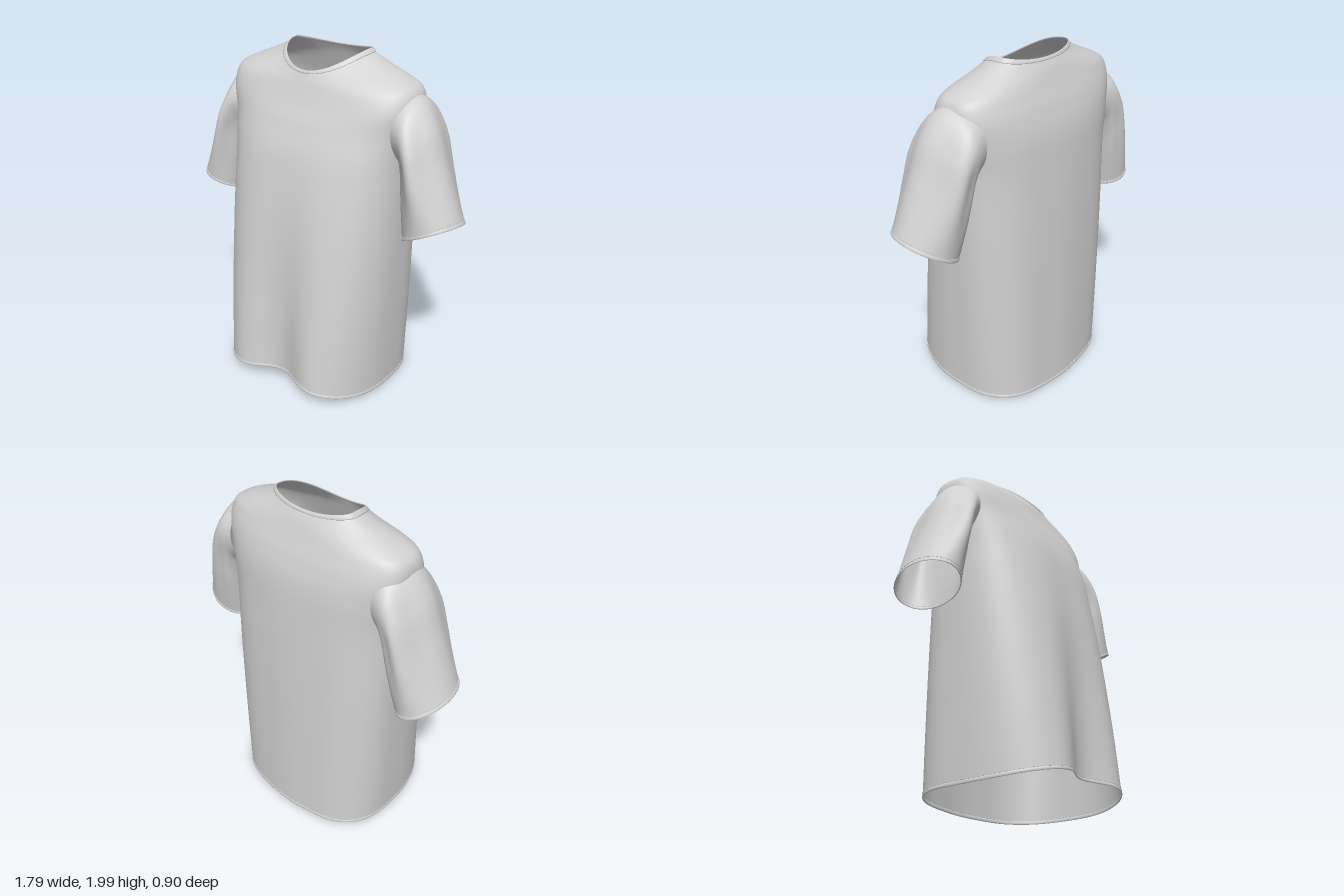
import * as THREE from 'three';
import { mergeGeometries } from 'three/addons/utils/BufferGeometryUtils.js';

const fabric = new THREE.MeshStandardMaterial({ color: 0xd2d2d2, side: THREE.DoubleSide });
fabric.name = 'light grey fabric';

const TAU = Math.PI * 2;
const bump = (x, width) => Math.exp(-((x / width) ** 2));

// Smooth blend through a list of cross-sections, v from 0 to 1
function blend(keys, v) {
  const f = Math.min(Math.max(v, 0), 1) * (keys.length - 1);
  const i = Math.min(Math.floor(f), keys.length - 2), t = f - i;
  const at = k => keys[Math.min(Math.max(k, 0), keys.length - 1)];
  return keys[0].map((_, c) => {
    const [p, q, r, s] = [at(i - 1)[c], at(i)[c], at(i + 1)[c], at(i + 2)[c]];
    return q + 0.5 * t * (r - p + t * (2 * p - 5 * q + 4 * r - s + t * (3 * (q - r) + s - p)));
  });
}

// Closed loops of points stitched into a smooth skin
function loft(rows, cols, point) {
  const pos = [], idx = [];
  for (let i = 0; i <= rows; i++) {
    for (let j = 0; j < cols; j++) {
      pos.push(...point(i / rows, (j / cols) * TAU).toArray());
      if (i === rows) continue;
      const a = i * cols + j, b = i * cols + ((j + 1) % cols);
      idx.push(a, a + cols, b, b, a + cols, b + cols);
    }
  }
  const g = new THREE.BufferGeometry();
  g.setAttribute('position', new THREE.Float32BufferAttribute(pos, 3));
  g.setIndex(idx);
  g.computeVertexNormals();
  return g;
}

// Point lifted off a surface along its normal
function lifted(surface, v, a, height) {
  const e = 0.002;
  const v0 = Math.max(v - e, 0), v1 = Math.min(v + e, 1);
  const dv = surface(v1, a).sub(surface(v0, a));
  const da = surface(v, a + 0.02).sub(surface(v, a - 0.02));
  return surface(v, a).addScaledVector(dv.cross(da).normalize(), height);
}

// Thick rounded band following an edge of a surface
const trim = (surface, v0, v1, thick) => loft(12, 128, (u, a) => lifted(surface,
  (v0 + v1) / 2 + ((v1 - v0) / 2) * Math.cos(u * TAU), a, -thick * Math.sin(u * TAU)));

// Row of small thread dashes around a surface
function stitches(surface, v, count) {
  const dashes = [];
  for (let k = 0; k < count; k++) {
    const p = lifted(surface, v, (k / count) * TAU, 0.001);
    const q = lifted(surface, v, ((k + 0.6) / count) * TAU, 0.001);
    const dash = new THREE.Object3D();
    dash.position.copy(p).lerp(q, 0.5);
    dash.lookAt(q);
    dash.updateMatrix();
    dashes.push(new THREE.BoxGeometry(0.004, 0.004, p.distanceTo(q)).applyMatrix4(dash.matrix));
  }
  return mergeGeometries(dashes);
}

// Body: half width, side z, front z, back z, side y, front y, back y, squareness, front dip
const bodyKeys = [
  [0.52, -0.07, 0.5, -0.45, 0.018, 0.09, 0.005, 2.6, 0.13],
  [0.535, -0.08, 0.447, -0.44, 0.5, 0.5, 0.5, 2.6, 0.08],
  [0.545, -0.09, 0.37, -0.424, 1.0, 1.0, 1.0, 2.6, 0.03],
  [0.55, -0.1, 0.288, -0.403, 1.4, 1.4, 1.4, 2.6, 0.005],
  [0.57, -0.11, 0.22, -0.385, 1.58, 1.6, 1.6, 2.7, 0],
  [0.597, -0.11, 0.172, -0.352, 1.73, 1.71, 1.73, 2.8, 0],
  [0.577, -0.12, 0.142, -0.315, 1.828, 1.785, 1.825, 2.7, 0],
  [0.5, -0.125, 0.127, -0.294, 1.876, 1.825, 1.88, 2.5, 0],
  [0.39, -0.135, 0.117, -0.278, 1.922, 1.85, 1.92, 2.2, 0],
  [0.285, -0.15, 0.109, -0.262, 1.97, 1.87, 1.95, 2.1, 0],
  [0.253, -0.16, 0.1, -0.25, 1.997, 1.89, 1.97, 2, 0],
];
function body(v, a) {
  const [w, zs, zf, zb, ys, yf, yb, n, dip] = blend(bodyKeys, v);
  const c = Math.cos(a), s = Math.sin(a), front = s > 0;
  const power = k => Math.sign(k) * Math.abs(k) ** (2 / n);
  const x = w * power(c);
  let z = zs + (front ? zf - zs : zs - zb) * power(s);
  const y = ys + ((front ? yf : yb) - ys) * s * s;
  // Hanging folds on the front and soft ripples on the back
  const drape = Math.max(0, 1 - v / 0.58);
  z -= front ? dip * bump(x, 0.19) * s * s : drape * 0.004 * (Math.cos(x * 16) - 1) * s * s;
  return new THREE.Vector3(x - 0.02 + 0.012 * drape, y, z);
}

// Sleeve: top x, top y, underarm x, underarm y, front z, back z, wrinkle depth
const sleeveKeys = [
  [0.5, 1.82, 0.5, 1.44, 0.07, -0.29, 0],
  [0.605, 1.785, 0.535, 1.42, 0.1, -0.305, 0.004],
  [0.695, 1.655, 0.55, 1.35, 0.122, -0.3, 0.01],
  [0.76, 1.485, 0.558, 1.24, 0.132, -0.285, 0.009],
  [0.825, 1.325, 0.565, 1.12, 0.132, -0.262, 0.005],
  [0.892, 1.165, 0.57, 1.002, 0.13, -0.235, 0],
];
const sleeve = side => (v, a) => {
  const [xt, yt, xu, yu, zf, zb, fold] = blend(sleeveKeys, v);
  const lean = side < 0 ? v : 0;
  const s = -side * Math.sin(a);
  const ripple = 1 + (fold / 0.18) * Math.cos(5 * a + side * 0.8);
  const k = 0.5 + 0.5 * Math.cos(a) * ripple;
  const zBack = zb - 0.055 * lean, zFront = zf - 0.015 * lean;
  return new THREE.Vector3(
    side * THREE.MathUtils.lerp(xu + 0.04 * lean, xt, k),
    THREE.MathUtils.lerp(yu, yt - 0.06 * lean, k) + 0.03 * v * s,
    (zFront + zBack) / 2 + ((zFront - zBack) / 2) * s * ripple);
};

export function createModel() {
  const shirt = new THREE.Group();
  shirt.name = 'shirt';
  const add = (name, geometry) => {
    const mesh = new THREE.Mesh(geometry, fabric);
    mesh.name = name;
    shirt.add(mesh);
  };

  add('body', loft(100, 160, body));
  add('bottomHem', trim(body, 0, 0.007, 0.003));
  add('bottomStitching', stitches(body, 0.0085, 130));
  add('neckBand', trim(body, 0.915, 1, 0.004));

  for (const [name, side] of [['left', 1], ['right', -1]]) {
    const surface = sleeve(side);
    add(name + 'Sleeve', loft(50, 80, surface));
    add(name + 'Cuff', trim(surface, 0.965, 1, 0.003));
    add(name + 'CuffStitching', stitches(surface, 0.955, 50));
  }
  return shirt;
}
